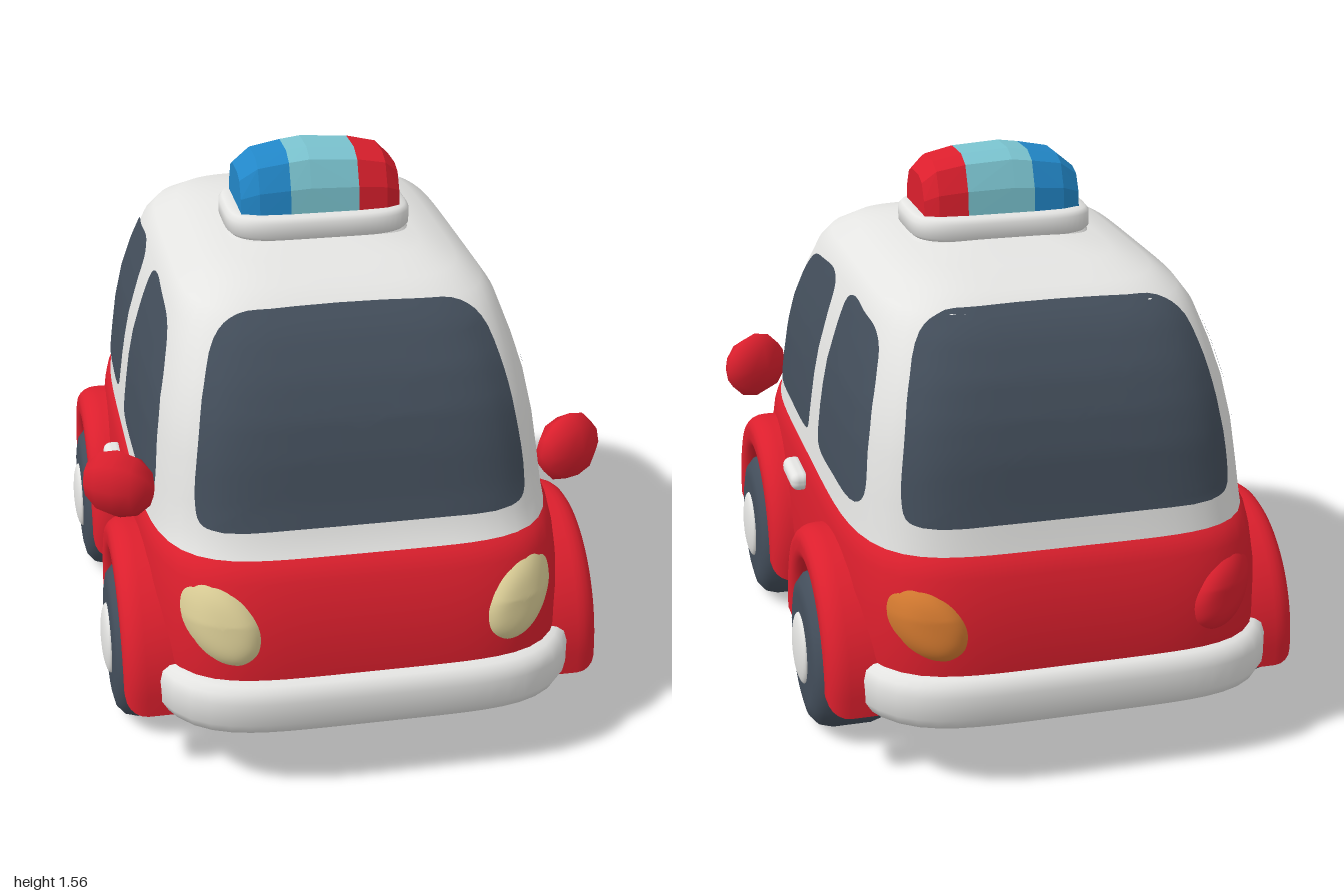
import * as THREE from 'three';
import { toCreasedNormals } from 'three/addons/utils/BufferGeometryUtils.js';
import { RoundedBoxGeometry } from 'three/addons/geometries/RoundedBoxGeometry.js';
import { ConvexGeometry } from 'three/addons/geometries/ConvexGeometry.js';

const palette = {
  red: 0xdc1f2d, white: 0xe4e4e2, dark: 0x434e5b, cream: 0xdacd96,
  blue: 0x2287c8, cyan: 0x7ac3cf, orange: 0xd47a30,
};

// Cross-sections: height, half width, front reach, rear reach
const lowerRows = [
  [0.18, 0.6, 0.93, 0.93], [0.35, 0.61, 0.95, 0.96], [0.5, 0.61, 0.925, 0.945],
  [0.6, 0.6, 0.89, 0.92], [0.64, 0.593, 0.86, 0.895], [0.66, 0.58, 0.83, 0.87],
];
const cabinRows = [
  [0.65, 0.584, 0.845, 0.882], [0.7, 0.578, 0.81, 0.87], [0.78, 0.57, 0.785, 0.855],
  [0.9, 0.555, 0.755, 0.835], [1.0, 0.535, 0.72, 0.805], [1.1, 0.505, 0.665, 0.76],
  [1.2, 0.47, 0.585, 0.69], [1.25, 0.435, 0.525, 0.635], [1.29, 0.37, 0.45, 0.56],
  [1.315, 0.28, 0.33, 0.42], [1.33, 0.12, 0.14, 0.18], [1.332, 0, 0, 0],
];
const N = 5; // squareness of the plan outline

// Skin stacked superellipse rings; minZ flattens everything behind it
function loft(rows, { n = N, minZ = -Infinity, crease = 0 } = {}) {
  const seg = 96, pos = [], idx = [];
  rows.forEach(([y, w, zf, zb]) => {
    for (let j = 0; j < seg; j++) {
      const a = (j / seg) * Math.PI * 2, c = Math.cos(a), s = Math.sin(a);
      const r = (Math.abs(c) ** n + Math.abs(s) ** n) ** (-1 / n);
      pos.push(w * r * c, y, Math.max(minZ, r * s * (s > 0 ? zf : zb)));
    }
  });
  for (let i = 0; i < rows.length - 1; i++) {
    for (let j = 0; j < seg; j++) {
      const k = (j + 1) % seg;
      const a = i * seg + j, b = i * seg + k, d = a + seg, c = b + seg;
      idx.push(a, d, b, d, c, b);
    }
  }
  const g = new THREE.BufferGeometry();
  g.setAttribute('position', new THREE.Float32BufferAttribute(pos, 3));
  g.setIndex(idx);
  g.computeVertexNormals();
  return crease ? toCreasedNormals(g, crease) : g;
}

// Interpolated cross-section at height y
function sectionAt(rows, y) {
  let i = 0;
  while (i < rows.length - 2 && rows[i + 1][0] < y) i++;
  const t = (y - rows[i][0]) / (rows[i + 1][0] - rows[i][0]);
  return rows[i].map((v, k) => v + (rows[i + 1][k] - v) * t);
}

// Plate that hugs the body: axis 'z' faces front/rear, axis 'x' faces sideways
function patch(rows, outline, axis, sign, lift = () => 0.006) {
  const curve = new THREE.CatmullRomCurve3(
    outline.map(([a, b]) => new THREE.Vector3(a, b, 0)), true, 'centripetal');
  const seg = 64, rings = 12, pts = curve.getPoints(seg).slice(0, seg);
  const mid = pts.reduce((m, p) => m.add(p), new THREE.Vector3()).divideScalar(seg);
  const pos = [], idx = [];
  const put = (a, y, r) => {
    const [, w, zf, zb] = sectionAt(rows, y);
    const out = (u, reach, span) =>
      sign * (reach * Math.max(0, 1 - Math.abs(u / span) ** N) ** (1 / N) + lift(r));
    if (axis === 'z') pos.push(a, y, out(a, sign > 0 ? zf : zb, w));
    else pos.push(out(a, w, a > 0 ? zf : zb), y, a);
  };
  put(mid.x, mid.y, 0);
  for (let i = 1; i <= rings; i++) {
    for (const p of pts) {
      const q = mid.clone().lerp(p, i / rings);
      put(q.x, q.y, i / rings);
    }
  }
  const flip = (THREE.ShapeUtils.area(pts) < 0) !== (sign < 0) !== (axis === 'x');
  const tri = (a, b, c) => (flip ? idx.push(a, c, b) : idx.push(a, b, c));
  for (let j = 0; j < seg; j++) {
    const k = (j + 1) % seg;
    tri(0, 1 + j, 1 + k);
    for (let i = 0; i < rings - 1; i++) {
      const a = 1 + i * seg + j, b = 1 + i * seg + k;
      tri(a, a + seg, b + seg);
      tri(a, b + seg, b);
    }
  }
  const g = new THREE.BufferGeometry();
  g.setAttribute('position', new THREE.Float32BufferAttribute(pos, 3));
  g.setIndex(idx);
  g.computeVertexNormals();
  return g;
}

// Wheel-arch flare with rounded edges
function fenderGeometry() {
  const R = 0.355, r = 0.235, cy = 0.235, s = new THREE.Shape();
  s.moveTo(R, 0.18);
  s.lineTo(R, cy);
  s.absarc(0, cy, R, 0, Math.PI, false);
  s.lineTo(-R, 0.18);
  s.lineTo(-r, 0.18);
  s.lineTo(-r, cy);
  s.absarc(0, cy, r, Math.PI, 0, true);
  s.lineTo(r, 0.18);
  const g = new THREE.ExtrudeGeometry(s, {
    depth: 0.16, bevelThickness: 0.06, bevelSize: 0.045, bevelOffset: -0.045,
    bevelSegments: 5, curveSegments: 28,
  });
  return toCreasedNormals(g.translate(0, 0, 0.46), 0.6);
}

export function createModel() {
  const car = new THREE.Group();
  car.name = 'emergencyCar';
  const mats = {};
  for (const [name, color] of Object.entries(palette)) {
    mats[name] = new THREE.MeshStandardMaterial({ color });
    mats[name].name = name;
  }
  const add = (name, geo, mat, x = 0, y = 0, z = 0) => {
    const m = new THREE.Mesh(geo, mats[mat]);
    m.name = name;
    m.position.set(x, y, z);
    car.add(m);
    return m;
  };

  // Shell
  add('lowerBody', loft(lowerRows), 'red');
  add('cabin', loft(cabinRows), 'white');
  add('underside', loft([[0.178, 0, 0, 0], [0.178, 0.59, 0.93, 0.93], [0.2, 0.59, 0.93, 0.93]],
    { crease: 0.6 }), 'dark');

  // Bumpers
  const bumper = loft([[0.185, 0.035], [0.195, 0.014], [0.225, 0], [0.29, 0], [0.318, 0.008],
    [0.332, 0.025], [0.337, 0.05], [0.337, 0.2]].map(([y, d]) => [y, 0.64 - d, 1 - d, 1 - d]),
  { minZ: 0.785, crease: 0.8 });
  add('frontBumper', bumper, 'white');
  add('rearBumper', bumper, 'white').rotation.y = Math.PI;

  // Windows
  const half = [[0.2, 1.255], [0.31, 1.245], [0.375, 1.2], [0.42, 1.08], [0.445, 0.95],
    [0.464, 0.79], [0.455, 0.735], [0.42, 0.72], [0.2, 0.72]];
  const screen = [...half, ...half.map(([x, y]) => [-x, y]).reverse()];
  add('windscreen', patch(cabinRows, screen, 'z', 1), 'dark');
  add('rearWindow', patch(cabinRows, screen.map(([x, y]) => [x, y + 0.01]), 'z', -1), 'dark');
  const frontPane = [[0, 0.73], [0.3, 0.725], [0.51, 0.728], [0.555, 0.76], [0.54, 0.86],
    [0.49, 1.0], [0.42, 1.11], [0.34, 1.17], [0.2, 1.195], [0.03, 1.2], [-0.015, 1.175],
    [-0.03, 1.1], [-0.03, 0.8], [-0.022, 0.745]];
  const rearPane = [[-0.21, 0.74], [-0.4, 0.735], [-0.62, 0.735], [-0.662, 0.77], [-0.655, 0.87],
    [-0.62, 1.01], [-0.555, 1.14], [-0.49, 1.185], [-0.38, 1.2], [-0.22, 1.203],
    [-0.175, 1.175], [-0.165, 1.1], [-0.165, 0.82], [-0.175, 0.76]];

  // Lamps, gently domed on the bodywork
  const lamp = (side, cy, rx, ry) => Array.from({ length: 10 }, (_, i) => {
    const a = (i / 10) * Math.PI * 2, u = rx * Math.cos(a), v = ry * Math.sin(a);
    return [side * (0.42 + u + v * 0.15), cy + v + u * 0.15];
  });
  const dome = (r) => 0.022 - 0.03 * r ** 4;

  const fender = fenderGeometry();
  const tyre = new THREE.LatheGeometry([[0, -0.12], [0.16, -0.12], [0.195, -0.112], [0.22, -0.09],
    [0.23, -0.055], [0.23, 0.055], [0.22, 0.09], [0.195, 0.112], [0.16, 0.12], [0, 0.12]]
    .map(([r, t]) => new THREE.Vector2(r, t)), 36).rotateZ(Math.PI / 2);
  const hub = new THREE.SphereGeometry(1, 24, 16).scale(0.022, 0.105, 0.095);
  const handle = new RoundedBoxGeometry(0.06, 0.055, 0.175, 3, 0.024);
  const mirror = new THREE.SphereGeometry(1, 8, 6).rotateZ(Math.PI / 2)
    .scale(0.108, 0.105, 0.068);

  for (const [side, s] of [['left', 1], ['right', -1]]) {
    add(side + 'FrontPane', patch(cabinRows, frontPane, 'x', s), 'dark');
    add(side + 'RearPane', patch(cabinRows, rearPane, 'x', s), 'dark');
    add(side + 'Headlight', patch(lowerRows, lamp(s, 0.487, 0.108, 0.112), 'z', 1, dome), 'cream');
    add(side + 'TailLight', patch(lowerRows, lamp(s, 0.475, 0.105, 0.1), 'z', -1, dome),
      s > 0 ? 'orange' : 'red');
    add(side + 'DoorHandle', handle, 'white', s * 0.615, 0.583, 0.005);
    add(side + 'Mirror', mirror, 'red', s * 0.652, 0.762, 0.525).rotation.y = s * 0.5;
    for (const [end, z] of [['Front', 0.465], ['Rear', -0.467]]) {
      add(side + end + 'Fender', fender, 'red', 0, 0, z).rotation.y = s * Math.PI / 2;
      add(side + end + 'Wheel', tyre, 'dark', s * 0.575, 0.23, z);
      add(side + end + 'Hub', hub, 'white', s * 0.695, 0.235, z);
    }
  }

  // Roof light: plinth and three faceted lens segments
  add('lightBase', loft([[1.3, 0.28, 0.2, 0.2], [1.325, 0.262, 0.185, 0.185],
    [1.335, 0.272, 0.19, 0.19], [1.375, 0.272, 0.188, 0.188], [1.388, 0.262, 0.178, 0.178],
    [1.39, 0.24, 0.16, 0.16], [1.39, 0, 0, 0]], { n: 4, crease: 0.9 }), 'white');
  const lens = (sections) => new ConvexGeometry(sections.flatMap(([x, h, w]) =>
    [[0.145, 0], [0.138, 0.45], [0.105, 0.87], [0.055, 1]].flatMap(([z, y]) =>
      [1, -1].map((s) => new THREE.Vector3(x, 1.38 + y * h, s * z * w + 0.003)))));
  add('blueLens', lens([[-0.232, 0.115, 0.8], [-0.18, 0.158, 0.95], [-0.09, 0.175, 1]]), 'blue');
  add('middleLens', lens([[-0.09, 0.175, 1], [-0.03, 0.183, 1], [0.11, 0.174, 1]]), 'cyan');
  add('redLens', lens([[0.11, 0.174, 1], [0.195, 0.155, 0.95], [0.235, 0.115, 0.8]]), 'red');

  return car;
}
